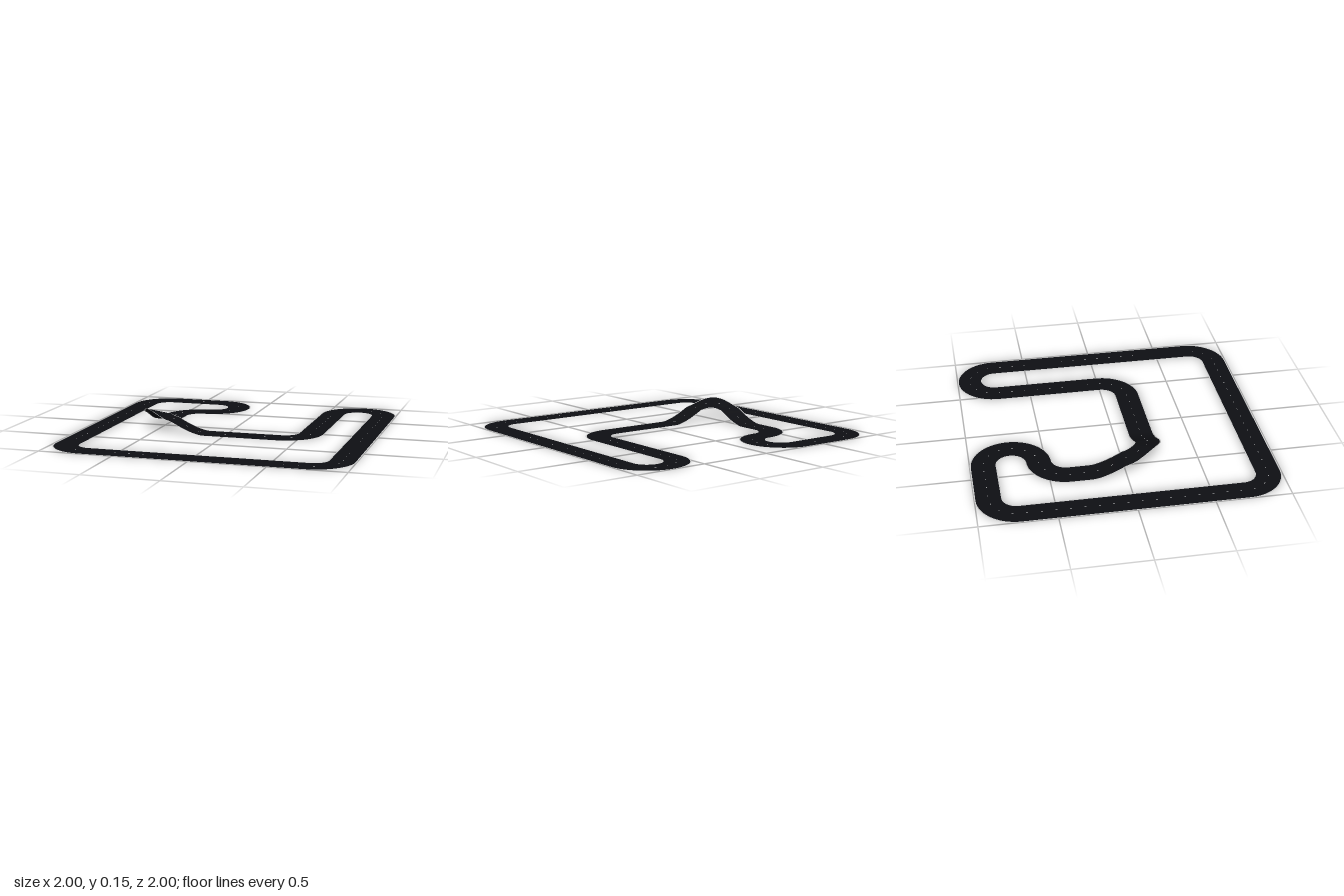
import * as THREE from 'three';

const P = 0.3645;        // tile pitch
const R = P / 2;         // centreline corner radius
const HALF = 0.0885;     // half width including edge lines
const ROAD = 0.081;      // half width of the tarmac

// Circuit corners on the tile grid (x, z); the fifth one is the raised banked bend
const corners = [
  [-2.5, -2.5], [-0.5, -2.5], [-0.5, -1.5], [-1.5, -1.5], [-1.5, 0.5],
  [1.5, 0.5], [1.5, -2.5], [2.5, -2.5], [2.5, 2.5], [-2.5, 2.5],
].map(([x, z]) => new THREE.Vector2(x * P, z * P));
const BANKED = 4;

// Closed centreline of straights and quarter arcs
function makeCentreline() {
  const n = corners.length;
  const path = new THREE.Path();
  const start = corners[n - 1].clone().lerp(corners[0], 0.5);
  path.moveTo(start.x, start.y);
  let bendAt = 0;
  corners.forEach((c, i) => {
    const din = c.clone().sub(corners[(i + n - 1) % n]).normalize();
    const dout = corners[(i + 1) % n].clone().sub(c).normalize();
    const a = c.clone().addScaledVector(din, -R);
    const centre = a.clone().addScaledVector(dout, R);
    path.lineTo(a.x, a.y);
    if (i === BANKED) bendAt = path.getCurveLengths().at(-1) + Math.PI * R / 4;
    path.absarc(centre.x, centre.y, R, Math.atan2(-dout.y, -dout.x),
      Math.atan2(din.y, din.x), din.cross(dout) < 0);
  });
  path.lineTo(start.x, start.y);
  return { path, bendAt, length: path.getCurveLengths().at(-1) };
}

export function createModel() {
  const group = new THREE.Group();
  group.name = 'raceTrack';
  const { path, bendAt, length } = makeCentreline();

  // Height at distance s and sideways offset u: ramps, then a crest banked outward
  function height(s, u) {
    const d = Math.abs(s - bendAt), arc = Math.PI * R / 4, ramp = 0.22;
    if (d > arc + ramp) return 0;
    if (d > arc) return 0.085 * Math.pow(1 - (d - arc) / ramp, 1.5);
    const crest = Math.pow(Math.max(0, Math.cos(Math.PI / 2 * d / arc)), 1.5);
    return 0.085 + crest * (0.037 + 0.025 * u / HALF);
  }

  // Strip of surface from s0 to s1 between offsets u0 and u1
  function strip(s0, s1, u0, u1, steps, lift, pos, index) {
    const base = pos.length / 3;
    for (let i = 0; i <= steps; i++) {
      const s = s0 + (s1 - s0) * i / steps;
      const t = Math.min(s / length, 1);
      const p = path.getPoint(t), d = path.getTangent(t);
      for (const u of [u0, u1]) {
        pos.push(p.x - d.y * u, height(s, u) + lift, p.y + d.x * u);
      }
      if (i < steps) {
        const a = base + i * 2;
        index.push(a, a + 1, a + 2, a + 1, a + 3, a + 2);
      }
    }
  }

  function addPart(name, color, strips) {
    const pos = [], index = [];
    strips.forEach((args) => strip(...args, pos, index));
    const geo = new THREE.BufferGeometry();
    geo.setAttribute('position', new THREE.Float32BufferAttribute(pos, 3));
    geo.setIndex(index);
    geo.computeVertexNormals();
    const mesh = new THREE.Mesh(geo,
      new THREE.MeshStandardMaterial({ color, side: THREE.DoubleSide }));
    mesh.name = name;
    group.add(mesh);
  }

  const STEPS = 480;
  addPart('roadSurface', 0x0e0f13, [[0, length, -ROAD, ROAD, STEPS, 0]]);
  addPart('edgeLines', 0xcccccc, [
    [0, length, -HALF, -ROAD, STEPS, 0],
    [0, length, ROAD, HALF, STEPS, 0],
  ]);

  // Short dashes along the centreline
  const count = Math.round(length / (P / 4));
  const dashes = Array.from({ length: count }, (_, i) => {
    const s = (i + 0.5) * length / count;
    return [s - 0.006, s + 0.006, -0.002, 0.002, 1, 0.001];
  });
  addPart('centreDashes', 0xcccccc, dashes);

  return group;
}
